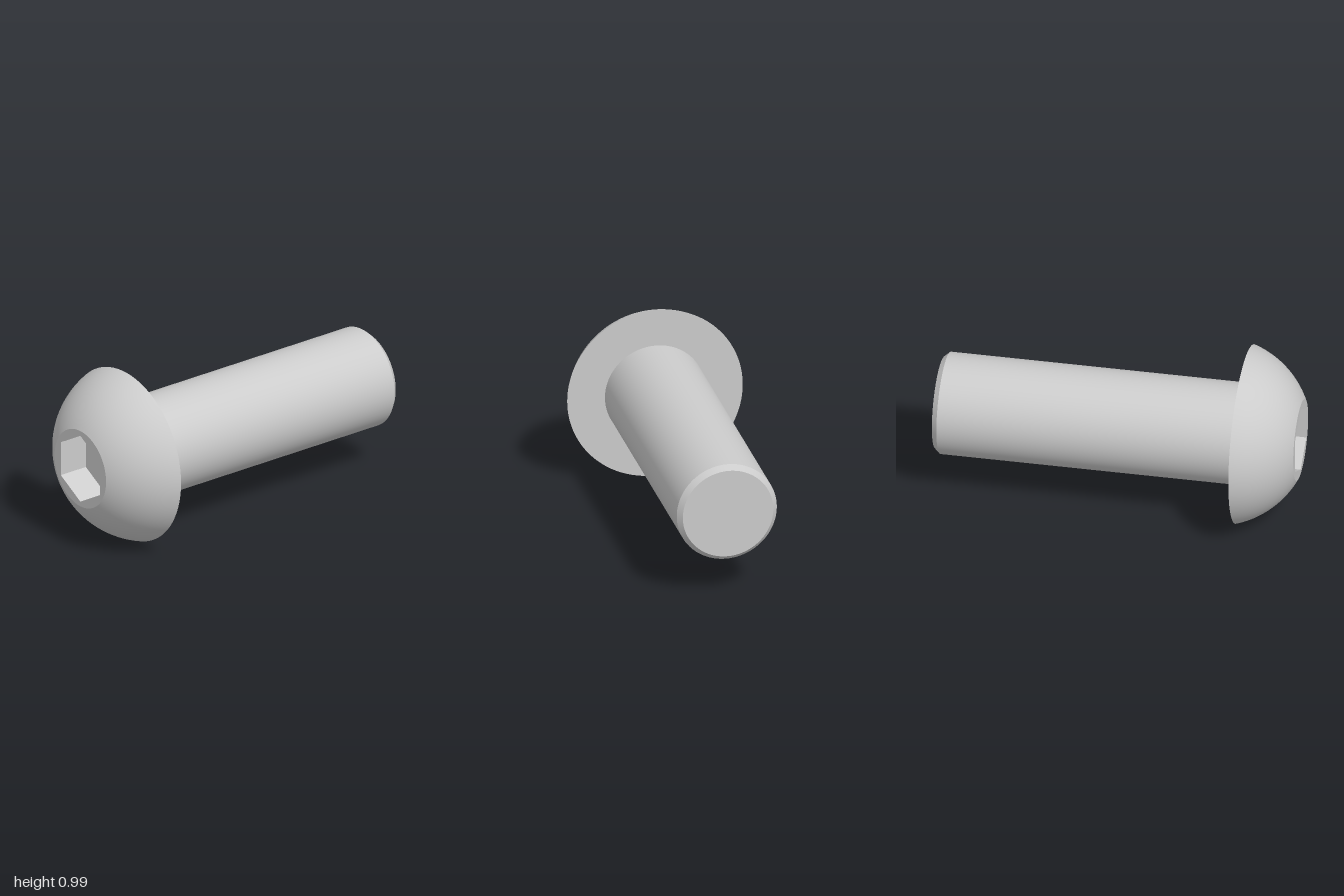
import * as THREE from 'three';

const HEAD_R = 0.493, FACE_R = 0.225, SHANK_R = 0.281, TIP_R = 0.254;
const FACE_X = -1, SEAT_X = -0.69, CHAMFER_X = 0.97, TIP_X = 1;
const HEX_R = 0.197, HEX_DEPTH = 0.175;

const material = new THREE.MeshStandardMaterial({ color: 0xcccccc });
const insideMaterial = new THREE.MeshStandardMaterial({
  color: 0xcccccc, side: THREE.BackSide, flatShading: true,
});

export function createModel() {
  const bolt = new THREE.Group();
  bolt.name = 'buttonHeadBolt';
  bolt.position.y = HEAD_R;

  const add = (name, geometry, mat = material) => {
    const mesh = new THREE.Mesh(geometry, mat);
    mesh.name = name;
    bolt.add(mesh);
  };

  // Revolves [x, radius] points about the x axis; one call per smooth section keeps edges sharp
  const revolve = (name, points) => {
    const profile = points.map(([x, r]) => new THREE.Vector2(r, x));
    add(name, new THREE.LatheGeometry(profile, 96).rotateZ(-Math.PI / 2));
  };

  // Domed head: arc of a sphere centred on the axis
  const cx = (FACE_X + SEAT_X) / 2 + (HEAD_R ** 2 - FACE_R ** 2) / (2 * (SEAT_X - FACE_X));
  const a0 = Math.atan2(FACE_R, cx - FACE_X);
  const a1 = Math.atan2(HEAD_R, cx - SEAT_X);
  const sphereR = Math.hypot(HEAD_R, cx - SEAT_X);
  const dome = [];
  for (let i = 0; i <= 20; i++) {
    const a = a0 + (a1 - a0) * i / 20;
    dome.push([cx - sphereR * Math.cos(a), sphereR * Math.sin(a)]);
  }
  revolve('headDome', dome);
  revolve('headUnderside', [[SEAT_X, HEAD_R], [SEAT_X, SHANK_R]]);

  // Shank with chamfered tip
  revolve('shank', [[SEAT_X, SHANK_R], [CHAMFER_X, SHANK_R]]);
  revolve('tipChamfer', [[CHAMFER_X, SHANK_R], [TIP_X, TIP_R]]);
  revolve('tipFace', [[TIP_X, TIP_R], [TIP_X, 0]]);

  // Flat head face pierced by the hexagon
  const face = new THREE.Shape().absarc(0, 0, FACE_R, 0, Math.PI * 2, false);
  const hex = [];
  for (let i = 0; i < 6; i++) {
    const a = Math.PI / 2 - i * Math.PI / 3;
    hex.push(new THREE.Vector2(HEX_R * Math.cos(a), HEX_R * Math.sin(a)));
  }
  face.holes.push(new THREE.Path(hex));
  add('headFace', new THREE.ShapeGeometry(face, 96).rotateY(-Math.PI / 2).translate(FACE_X, 0, 0));

  // Hexagonal drive socket: inward-facing walls and floor
  add('socketWalls',
    new THREE.CylinderGeometry(HEX_R, HEX_R, HEX_DEPTH, 6, 1, true, Math.PI / 6)
      .rotateZ(-Math.PI / 2).translate(FACE_X + HEX_DEPTH / 2, 0, 0),
    insideMaterial);
  add('socketFloor',
    new THREE.CircleGeometry(HEX_R, 6, Math.PI / 2)
      .rotateY(-Math.PI / 2).translate(FACE_X + HEX_DEPTH, 0, 0));

  return bolt;
}
